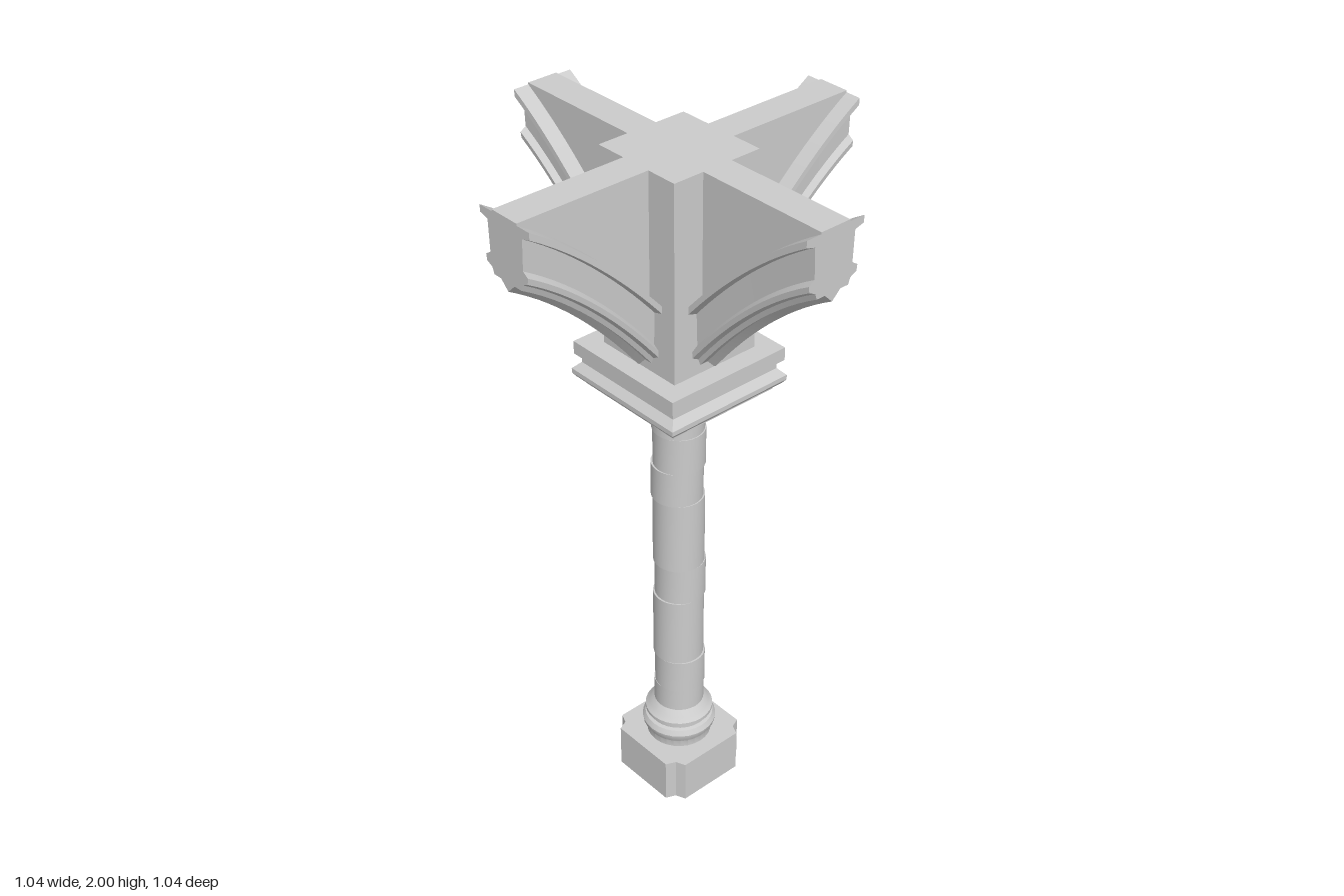
import * as THREE from 'three';
import { toCreasedNormals } from 'three/addons/utils/BufferGeometryUtils.js';

const material = new THREE.MeshStandardMaterial({ color: 0xcccccc });

function add(parent, name, geometry, crease = 0.6) {
  const mesh = new THREE.Mesh(toCreasedNormals(geometry, crease), material);
  mesh.name = name;
  parent.add(mesh);
  return mesh;
}

const lathe = (points, segments, phi = 0) =>
  new THREE.LatheGeometry(points.map(([r, y]) => new THREE.Vector2(r, y)), segments, phi);

// Smooth curve through three points
const curve = ([x0, y0], [x1, y1], [x2, y2]) => x =>
  y0 * (x - x1) * (x - x2) / ((x0 - x1) * (x0 - x2)) +
  y1 * (x - x0) * (x - x2) / ((x1 - x0) * (x1 - x2)) +
  y2 * (x - x0) * (x - x1) / ((x2 - x0) * (x2 - x1));

const archBottom = curve([0.135, 1.447], [0.33, 1.665], [0.52, 1.807]);
const archTop = curve([0.135, 1.655], [0.32, 1.845], [0.52, 1.995]);
const START = 0.12, END = 0.52, STEPS = 14;
const station = i => START + (END - START) * i / STEPS;

// Moulded arch rib: half section as [half width, share of rib height]
function ribGeometry() {
  const half = [[0.025, 0.13], [0.05, 0.13], [0.056, 0.22], [0.075, 0.27], [0.077, 0.36],
    [0.06, 0.42], [0.063, 0.86], [0.09, 0.9], [0.09, 1]];
  const section = [[0, 0], ...half, ...half.map(([w, t]) => [-w, t]).reverse()];
  const n = section.length, positions = [], index = [];
  for (let i = 0; i <= STEPS; i++) {
    const z = station(i), low = archBottom(z), high = archTop(z);
    for (const [w, t] of section) positions.push(w, low + t * (high - low), z);
  }
  for (let i = 0; i < STEPS; i++) {
    for (let j = 0; j < n; j++) {
      const k = (j + 1) % n;
      const a = i * n + j, b = i * n + k, c = b + n, d = a + n;
      index.push(a, b, c, a, c, d);
    }
  }
  // Outer end face
  const contour = section.map(([w, t]) => new THREE.Vector2(w, t));
  for (const tri of THREE.ShapeUtils.triangulateShape(contour, [])) {
    index.push(...tri.map(v => v + STEPS * n));
  }
  const geometry = new THREE.BufferGeometry();
  geometry.setAttribute('position', new THREE.Float32BufferAttribute(positions, 3));
  geometry.setIndex(index);
  return geometry;
}

// Wall filling the space between the rib and the level top
function webGeometry() {
  const shape = new THREE.Shape();
  shape.moveTo(START, 2);
  for (let i = 0; i <= STEPS; i++) shape.lineTo(station(i), archTop(station(i)) - 0.01);
  shape.lineTo(END, 2);
  const geometry = new THREE.ExtrudeGeometry(shape, { depth: 0.09, bevelEnabled: false });
  return geometry.translate(0, 0, -0.045).rotateY(-Math.PI / 2);
}

export function createModel() {
  const model = new THREE.Group();
  model.name = 'vaultColumn';

  // Plinth: square block with notched corners
  const outline = [];
  for (let q = 0; q < 4; q++) {
    const c = Math.round(Math.cos(q * Math.PI / 2)), s = Math.round(Math.sin(q * Math.PI / 2));
    for (const [x, y] of [[0.14, 0.1], [0.112, 0.112], [0.1, 0.14]]) {
      outline.push(new THREE.Vector2(x * c - y * s, x * s + y * c));
    }
  }
  add(model, 'plinth', new THREE.ExtrudeGeometry(new THREE.Shape(outline),
    { depth: 0.135, bevelEnabled: false }).rotateX(-Math.PI / 2), 0.2);

  // Round base moulding
  add(model, 'baseMoulding', lathe([[0.093, 0.13], [0.093, 0.155], [0.104, 0.172], [0.106, 0.185],
    [0.098, 0.2], [0.088, 0.203], [0.088, 0.213], [0.097, 0.216], [0.097, 0.227],
    [0.085, 0.238], [0.076, 0.252], [0.07, 0.258], [0, 0.258]], 28));

  // Shaft of slightly misaligned stone drums
  const joints = [0.24, 0.33, 0.435, 0.65, 0.765, 0.985, 1.09, 1.2, 1.31];
  const shifts = [[0, 0], [0.004, 0], [-0.001, 0.001], [0, -0.004], [0, 0.001],
    [-0.003, 0.004], [0.001, 0], [-0.002, 0.001]];
  const shaft = new THREE.Group();
  shaft.name = 'shaft';
  model.add(shaft);
  shifts.forEach(([x, z], i) => {
    const height = joints[i + 1] - joints[i];
    const drum = add(shaft, 'drum', new THREE.CylinderGeometry(0.071, 0.071, height, 28));
    drum.position.set(x, joints[i] + height / 2, z);
  });

  // Neck ring and square moulded capital
  add(model, 'neckRing', new THREE.CylinderGeometry(0.09, 0.09, 0.03, 28).translate(0, 1.319, 0));
  const steps = [[0, 1.325], [0.17, 1.325], [0.17, 1.345], [0.188, 1.345], [0.195, 1.355],
    [0.195, 1.368], [0.176, 1.388], [0.176, 1.41], [0.19, 1.413], [0.19, 1.45], [0, 1.45]];
  add(model, 'capital', lathe(steps.map(([r, y]) => [r * Math.SQRT2, y]), 4, Math.PI / 4), 0.2);

  // Central pier above the capital
  add(model, 'pier', new THREE.BoxGeometry(0.27, 0.55, 0.27).translate(0, 1.725, 0));

  // Four springing arches
  const rib = ribGeometry(), web = webGeometry();
  for (let i = 0; i < 4; i++) {
    const arm = new THREE.Group();
    arm.name = 'archArm';
    arm.rotation.y = i * Math.PI / 2;
    add(arm, 'archRib', rib, 0.35);
    add(arm, 'archWeb', web, 0.35);
    model.add(arm);
  }
  return model;
}
